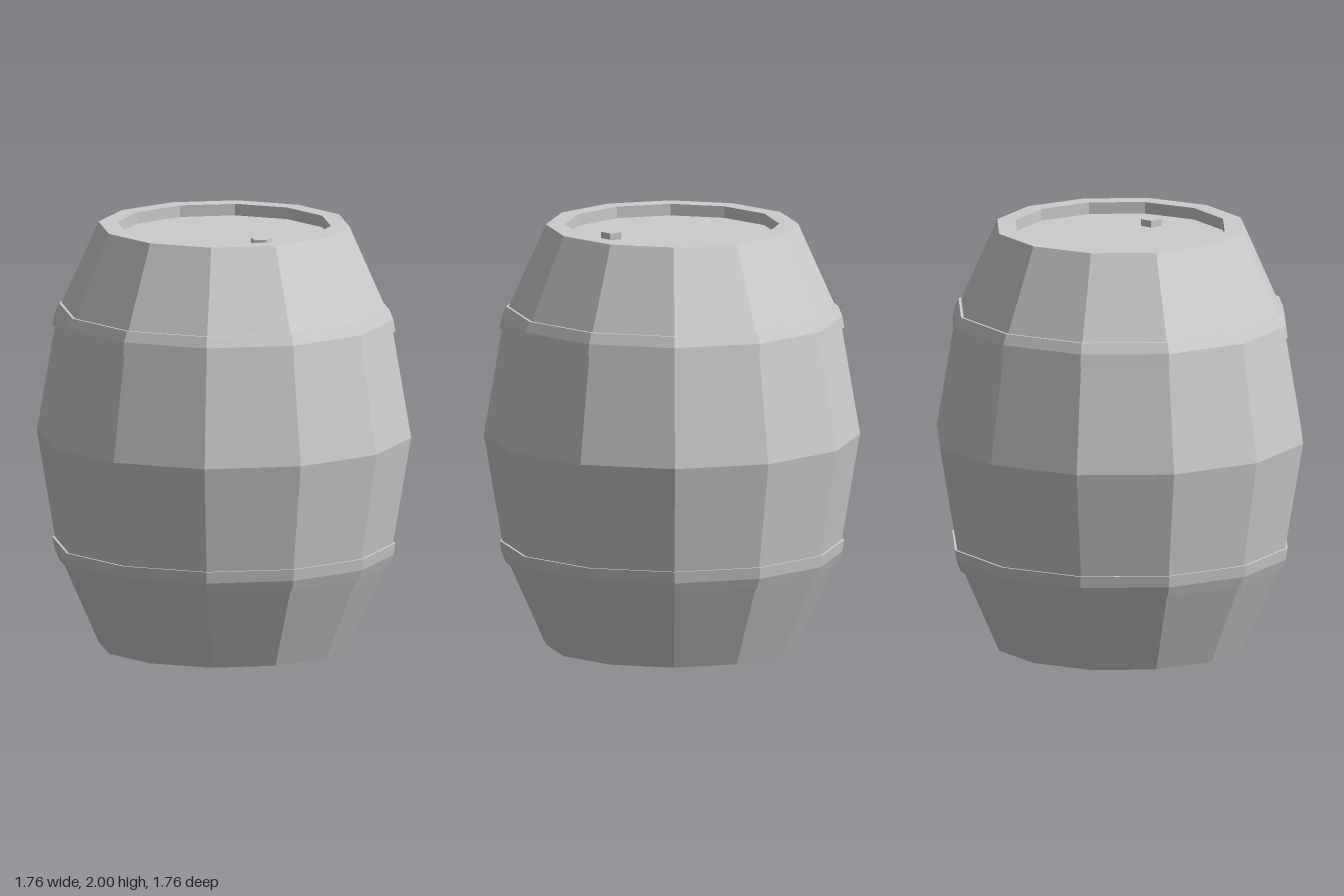
import * as THREE from 'three';

const SIDES = 12;
const material = new THREE.MeshStandardMaterial({ color: 0xcccccc, flatShading: true });

function lathe(name, profile) {
  const points = profile.map(([r, y]) => new THREE.Vector2(r, y));
  const mesh = new THREE.Mesh(new THREE.LatheGeometry(points, SIDES), material);
  mesh.name = name;
  return mesh;
}

// Mirror a profile about mid height, keeping its winding
const flip = (profile) => profile.map(([r, y]) => [r, 2 - y]).reverse();

export function createModel() {
  const barrel = new THREE.Group();
  barrel.name = 'barrel';

  // Staves, rims and recessed heads as one closed profile
  const upperHalf = [[0.785, 1.56], [0.59, 2], [0.503, 2], [0.503, 1.945], [0, 1.945]];
  barrel.add(lathe('body', [...flip(upperHalf), [0.88, 1], ...upperHalf]));

  // Hoops wrap the bend of the staves
  const hoop = [[0.77, 1.505], [0.806, 1.505], [0.797, 1.56], [0.776, 1.61], [0.74, 1.61]];
  barrel.add(lathe('upperHoop', hoop));
  barrel.add(lathe('lowerHoop', flip(hoop)));

  // Small five-sided plug on the top head
  const plug = new THREE.Mesh(new THREE.CylinderGeometry(0.051, 0.051, 0.04, 5), material);
  plug.name = 'plug';
  plug.position.set(0.196, 1.957, 0.212);
  plug.rotation.y = Math.PI;
  barrel.add(plug);

  return barrel;
}
